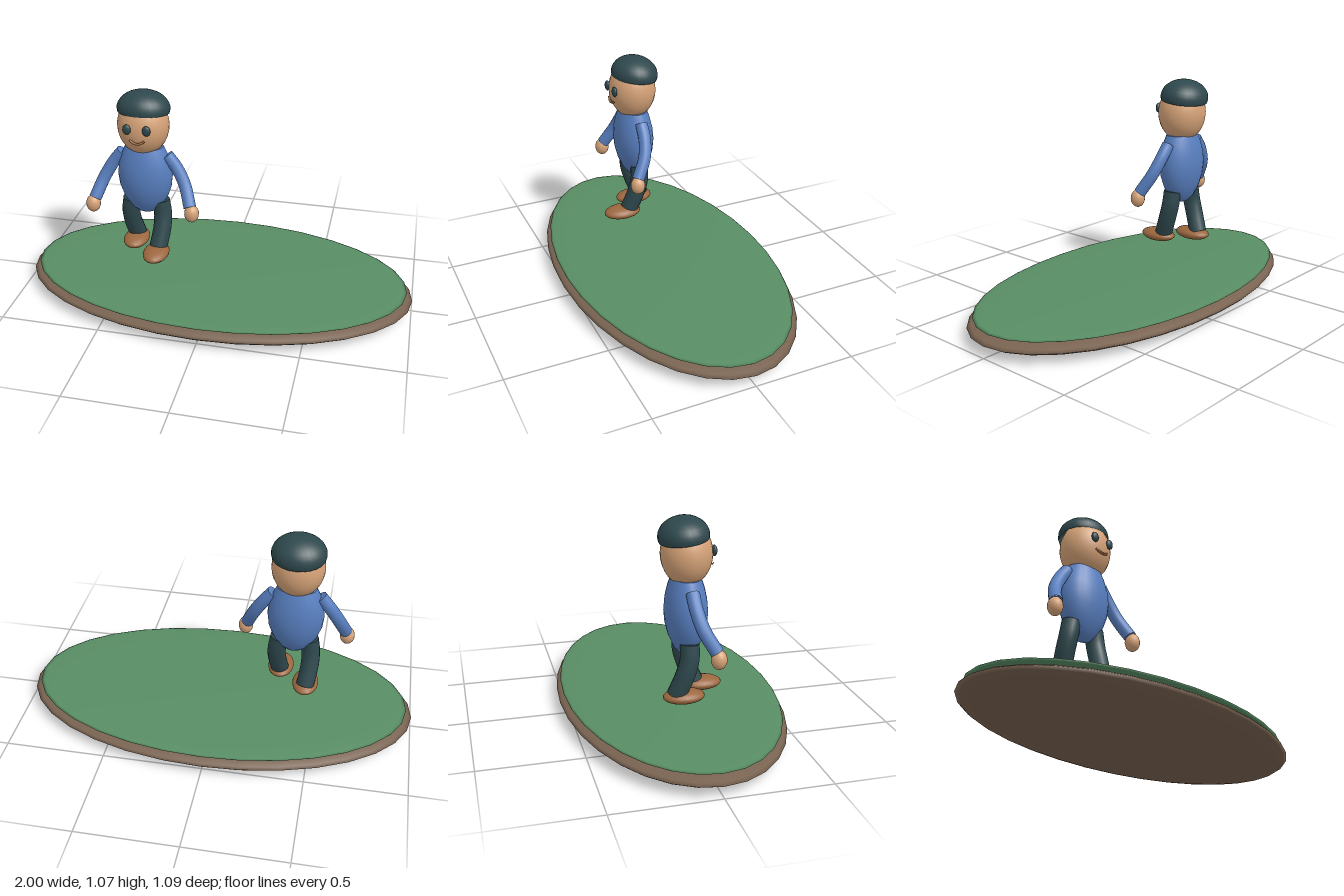
import * as THREE from 'three';

function material(name, color) {
  const m = new THREE.MeshStandardMaterial({ color });
  m.name = name;
  return m;
}

export function createModel() {
  const skin = material('skin', 0xd6a378);
  const shirt = material('shirt blue', 0x587fc0);
  const dark = material('dark teal', 0x2e484d);
  const leather = material('shoe brown', 0x9c673f);
  const grass = material('grass green', 0x588d64);
  const earth = material('earth brown', 0x796351);

  const model = new THREE.Group();
  model.name = 'walkerOnIsland';

  const add = (parent, name, geometry, mat) => {
    const mesh = new THREE.Mesh(geometry, mat);
    mesh.name = name;
    parent.add(mesh);
    return mesh;
  };
  const ellipsoid = (parent, name, mat, pos, radii, w = 24, h = 16) => {
    const mesh = add(parent, name, new THREE.SphereGeometry(1, w, h), mat);
    mesh.position.set(...pos);
    mesh.scale.set(...radii);
    return mesh;
  };
  // Bent tube with flat end caps
  const limb = (parent, name, mat, points, radius) => {
    const curve = new THREE.CatmullRomCurve3(points.map(p => new THREE.Vector3(...p)));
    const group = new THREE.Group();
    group.name = name;
    parent.add(group);
    add(group, name + 'Tube', new THREE.TubeGeometry(curve, 14, radius, 14), mat);
    for (const t of [0, 1]) {
      const cap = add(group, name + 'End', new THREE.CircleGeometry(radius, 14), mat);
      const outward = curve.getTangent(t).multiplyScalar(t ? 1 : -1);
      cap.position.copy(curve.getPoint(t));
      cap.quaternion.setFromUnitVectors(new THREE.Vector3(0, 0, 1), outward);
    }
  };

  // Island: earth lens with a thin grass lens on top
  ellipsoid(model, 'earthBase', earth, [0, 0.058, 0], [1, 0.058, 0.545], 32, 16);
  ellipsoid(model, 'grassTop', grass, [0, 0.102, 0], [0.97, 0.02, 0.525], 32, 16);

  const figure = new THREE.Group();
  figure.name = 'figure';
  figure.position.x = -0.377;
  model.add(figure);

  // Torso: rounded belly, flat at the neck
  const profile = [[0, 0.417], [0.3, 0.427], [0.55, 0.455], [0.8, 0.51], [0.95, 0.57],
    [1, 0.63], [0.95, 0.69], [0.83, 0.745], [0.69, 0.787]].map(p => new THREE.Vector2(...p));
  const torso = add(figure, 'torso', new THREE.LatheGeometry(profile, 24), shirt);
  torso.scale.set(0.14, 1, 0.1);
  const collar = add(figure, 'torsoTop', new THREE.CircleGeometry(0.69, 24), shirt);
  collar.rotation.x = -Math.PI / 2;
  collar.scale.set(0.14, 0.1, 1);
  collar.position.y = 0.787;

  // Head and tilted cap
  ellipsoid(figure, 'head', skin, [0, 0.9, 0.002], [0.129, 0.15, 0.12]);
  const cap = add(figure, 'cap',
    new THREE.SphereGeometry(1, 24, 10, 0, Math.PI * 2, 0, Math.PI * 0.57), dark);
  cap.material.side = THREE.DoubleSide;
  cap.position.set(0, 0.983, -0.012);
  cap.scale.set(0.132, 0.09, 0.118);
  cap.rotation.x = -0.13;

  // Smile
  const smile = new THREE.QuadraticBezierCurve3(new THREE.Vector3(-0.037, 0.861, 0.114),
    new THREE.Vector3(0, 0.83, 0.128), new THREE.Vector3(0.037, 0.861, 0.114));
  add(figure, 'mouth', new THREE.TubeGeometry(smile, 12, 0.006, 8), leather);

  // Paired parts; the left leg steps forward, the right leg back
  for (const [side, s] of [['left', 1], ['right', -1]]) {
    ellipsoid(figure, side + 'Eye', dark, [s * 0.049, 0.917, 0.118], [0.021, 0.026, 0.013], 16, 12);

    limb(figure, side + 'Arm', shirt, [[s * 0.115, 0.745, 0], [s * 0.165, 0.68, 0.004],
      [s * 0.21, 0.6, 0.025], [s * 0.247, 0.505, 0.077]], 0.032);
    ellipsoid(figure, side + 'Hand', skin, [s * 0.257, 0.475, 0.083], [0.037, 0.046, 0.037], 16, 12);

    limb(figure, side + 'Leg', dark, [[s * 0.075, 0.49, 0], [s * 0.086, 0.415, s * 0.004],
      [s * 0.086, 0.345, s * 0.023], [s * 0.072, 0.245, s * 0.061]], 0.046);
    ellipsoid(figure, side + 'Shoe', leather, [s * 0.07, 0.233, s > 0 ? 0.098 : -0.025],
      [0.066, 0.033, 0.1], 20, 12);
  }

  return model;
}
